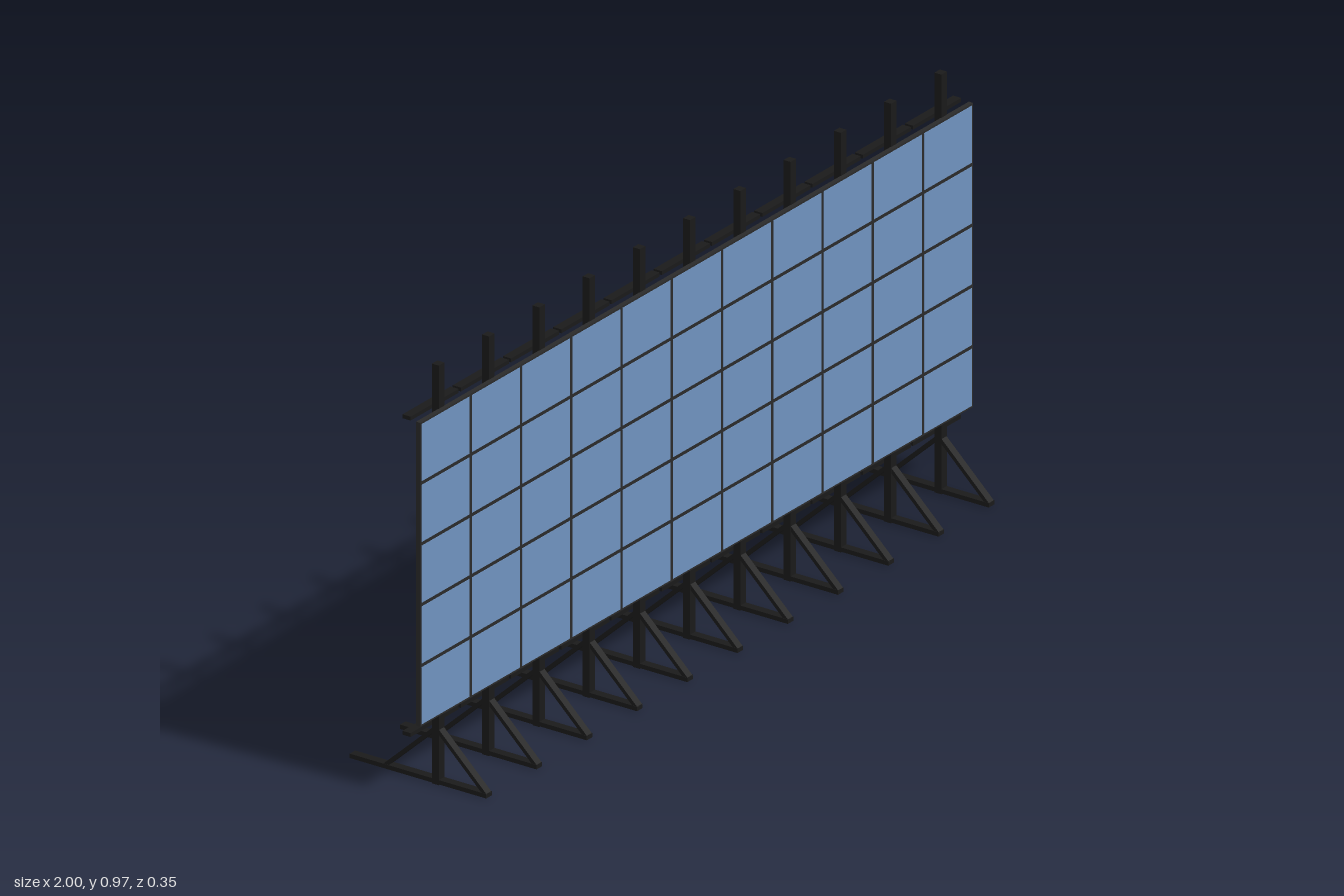
import * as THREE from 'three';

const COLS = 11, ROWS = 5;
const PITCH = 2 / COLS;            // column spacing
const BOTTOM = 0.168, ROW = 0.1408; // lower edge and height of a panel row

export function createModel() {
  const model = new THREE.Group();
  const steel = new THREE.MeshStandardMaterial({ color: 0x1a1a1a });
  const casing = new THREE.MeshStandardMaterial({ color: 0x2a2a2a });
  const screen = new THREE.MeshStandardMaterial({ color: 0x6f92bf });

  function box(parent, name, material, size, position) {
    const mesh = new THREE.Mesh(new THREE.BoxGeometry(...size), material);
    mesh.name = name;
    mesh.position.set(...position);
    parent.add(mesh);
    return mesh;
  }

  // Diagonal bar between two points of the y-z plane
  function brace(parent, name, y0, z0, y1, z1) {
    const length = Math.hypot(y1 - y0, z1 - z0);
    const mesh = box(parent, name, steel, [0.018, 0.009, length], [0, (y0 + y1) / 2, (z0 + z1) / 2]);
    mesh.rotation.x = -Math.atan2(y1 - y0, z1 - z0);
  }

  for (let c = 0; c < COLS; c++) {
    const x = (c - (COLS - 1) / 2) * PITCH;

    // Upright with its foot, braces and crossbars
    const stand = new THREE.Group();
    stand.name = 'supportStand';
    stand.position.x = x;
    model.add(stand);
    box(stand, 'post', steel, [0.02, 0.972, 0.018], [0, 0.486, 0.045]);
    box(stand, 'foot', steel, [0.02, 0.01, 0.354], [0, 0.007, 0]);
    brace(stand, 'frontBrace', 0.132, 0.043, 0.008, 0.174);
    brace(stand, 'rearBrace', 0.132, 0.047, 0.008, -0.088);
    for (const [name, y] of [['upperCrossbar', 0.873], ['lowerCrossbar', 0.14]]) {
      box(stand, name, steel, [0.174, 0.009, 0.021], [0, y, 0.0255]);
    }

    // Column of display panels
    const column = new THREE.Group();
    column.name = 'panelColumn';
    column.position.x = x;
    model.add(column);
    for (let r = 0; r < ROWS; r++) {
      const y = BOTTOM + (r + 0.5) * ROW;
      box(column, 'panelCasing', casing, [PITCH, ROW, 0.011], [0, y, 0.0585]);
      box(column, 'panelScreen', screen, [PITCH - 0.009, ROW - 0.009, 0.001], [0, y, 0.0645]);
    }
  }
  return model;
}
